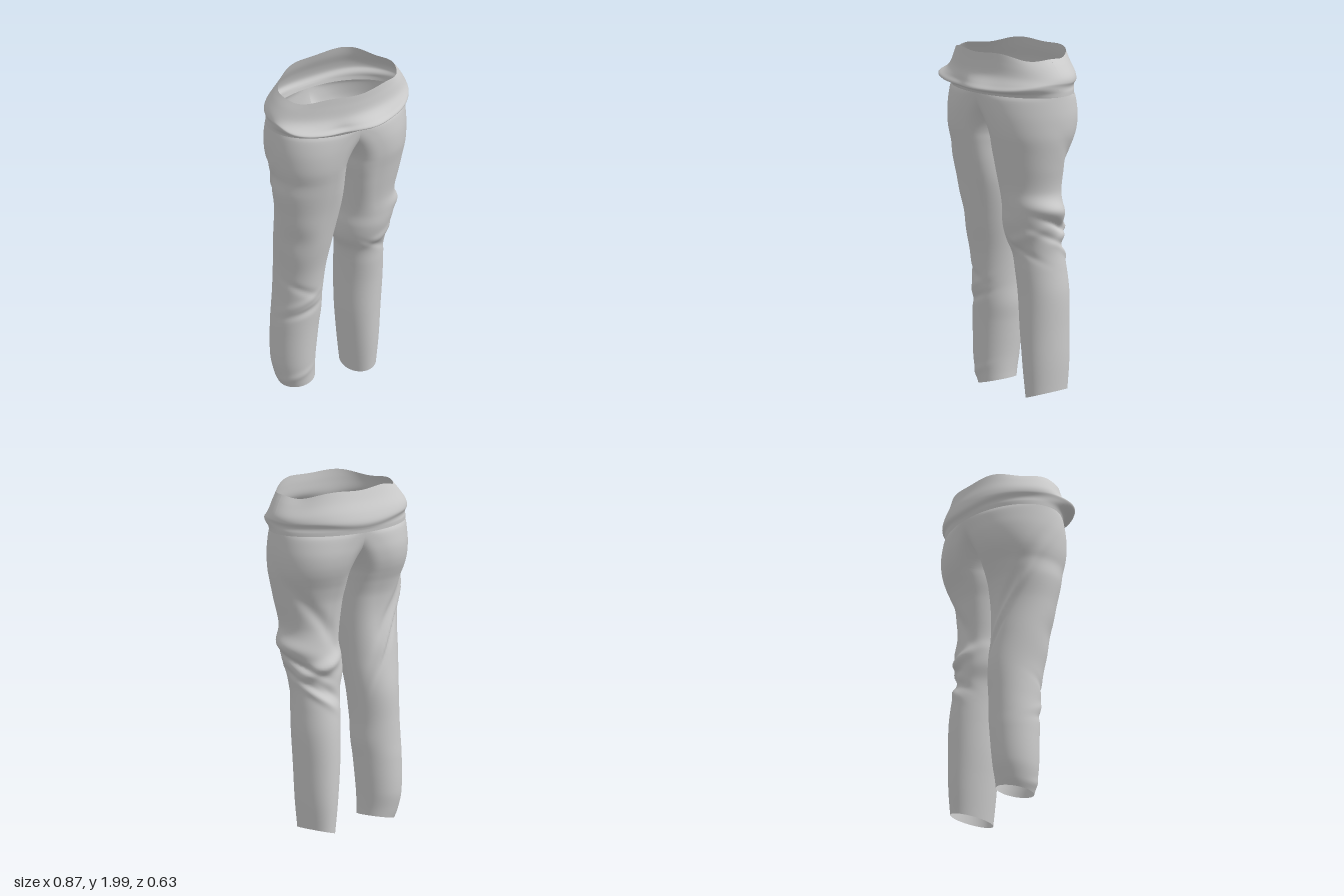
import * as THREE from 'three';
import { mergeVertices } from 'three/addons/utils/BufferGeometryUtils.js';

const material = new THREE.MeshStandardMaterial({ color: 0xcccccc, side: THREE.DoubleSide });

// Smooth interpolation of table rows; the first entry of each row is the key
function sampleRows(rows, v) {
  let i = 0;
  while (i < rows.length - 2 && v > rows[i + 1][0]) i++;
  const a = rows[Math.max(i - 1, 0)], b = rows[i], c = rows[i + 1], d = rows[Math.min(i + 2, rows.length - 1)];
  const s = c[0] - b[0], u = (v - b[0]) / s, u2 = u * u, u3 = u2 * u;
  return b.map((p, k) => {
    const m0 = (c[k] - a[k]) / (c[0] - a[0]) * s, m1 = (d[k] - p) / (d[0] - b[0]) * s;
    return (2 * u3 - 3 * u2 + 1) * p + (u3 - 2 * u2 + u) * m0 + (3 * u2 - 2 * u3) * c[k] + (u3 - u2) * m1;
  });
}

// Surface through a grid of points, point(row 0..1, column 0..1) -> [x, y, z]
function loft(name, rows, cols, flip, point) {
  const pos = [], index = [];
  for (let r = 0; r <= rows; r++)
    for (let c = 0; c <= cols; c++) pos.push(...point(r / rows, c / cols));
  for (let r = 0; r < rows; r++)
    for (let c = 0; c < cols; c++) {
      const a = r * (cols + 1) + c, b = a + 1, d = a + cols + 1, e = d + 1;
      index.push(...(flip ? [a, d, b, b, d, e] : [a, b, d, b, e, d]));
    }
  let geo = new THREE.BufferGeometry();
  geo.setAttribute('position', new THREE.Float32BufferAttribute(pos, 3));
  geo.setIndex(index);
  geo = mergeVertices(geo, 1e-5);
  geo.computeVertexNormals();
  const mesh = new THREE.Mesh(geo, material);
  mesh.name = name;
  return mesh;
}

// Seat rows shared by both legs: y, outer x, inner x, front z, back z, opening
// (opening 0 = closed leg tube, 1 = half of the open pelvis)
const seat = [
  [1.43, 0.402, 0.003, 0.21, -0.222, 0],
  [1.48, 0.413, 0, 0.221, -0.243, 0],
  [1.52, 0.42, 0, 0.229, -0.26, 0.2],
  [1.57, 0.425, 0, 0.236, -0.276, 0.42],
  [1.63, 0.428, 0, 0.242, -0.287, 0.64],
  [1.69, 0.427, 0, 0.246, -0.291, 0.84],
  [1.75, 0.424, 0, 0.25, -0.295, 1],
];

const leftLeg = {
  side: 1, hemSlope: 0.26,
  rows: [
    [0.03, 0.29, 0.11, 0.03, -0.235, 0],
    [0.20, 0.305, 0.09, 0.045, -0.245, 0],
    [0.40, 0.315, 0.07, 0.055, -0.245, 0],
    [0.60, 0.325, 0.06, 0.065, -0.24, 0],
    [0.74, 0.32, 0.052, 0.08, -0.225, 0],
    [0.84, 0.318, 0.04, 0.092, -0.205, 0],
    [0.93, 0.325, 0.01, 0.125, -0.197, 0],
    [1.02, 0.345, 0.01, 0.15, -0.19, 0],
    [1.10, 0.357, 0.025, 0.157, -0.18, 0],
    [1.20, 0.352, 0.025, 0.166, -0.178, 0],
    [1.34, 0.382, 0.016, 0.192, -0.195, 0],
    ...seat],
  // Cloth folds: y, angle, slope, height, thickness, angular spread
  folds: [
    [1.09, -0.1, 0.03, 0.028, 0.05, 0.8],
    [0.98, -1.4, -0.06, 0.03, 0.035, 0.9],
    [0.84, -0.9, 0.1, 0.015, 0.03, 0.9],
    [0.89, -0.5, 0.08, -0.018, 0.025, 0.9],
    [0.99, -0.5, 0.07, -0.022, 0.025, 0.8],
    [0.93, 1.2, -0.06, 0.010, 0.03, 0.8],
    [0.87, 1.4, 0.08, -0.007, 0.025, 0.8],
    [0.82, -1.8, 0.08, -0.015, 0.03, 0.8],
    [1.25, -1.3, 0.22, -0.014, 0.06, 0.9],
  ],
};

const rightLeg = {
  side: -1, hemSlope: 0.2,
  rows: [
    [0.055, 0.315, 0.11, 0.02, -0.2, 0],
    [0.10, 0.335, 0.11, 0.025, -0.21, 0],
    [0.20, 0.355, 0.105, 0.035, -0.23, 0],
    [0.40, 0.355, 0.085, 0.045, -0.24, 0],
    [0.50, 0.35, 0.072, 0.052, -0.24, 0],
    [0.62, 0.343, 0.07, 0.062, -0.24, 0],
    [0.80, 0.342, 0.055, 0.085, -0.24, 0],
    [1.00, 0.365, 0.03, 0.13, -0.21, 0],
    [1.20, 0.382, 0.008, 0.163, -0.185, 0],
    [1.34, 0.403, 0.004, 0.192, -0.195, 0],
    ...seat],
  folds: [
    [0.60, 1.3, 0.07, 0.006, 0.025, 0.9],
    [0.54, 1.5, 0.05, -0.010, 0.022, 0.9],
    [0.68, 1.2, -0.06, -0.008, 0.025, 0.8],
    [1.02, 0.8, 0, -0.015, 0.09, 0.6],
    [0.12, 1.2, 0.03, 0.006, 0.02, 1.0],
    [1.16, -1.2, 0.3, 0.012, 0.035, 0.9],
    [1.08, -1.3, 0.3, -0.012, 0.03, 0.8],
    [1.28, -1.1, 0.3, -0.010, 0.04, 0.9],
  ],
};

function makeLeg(name, { side, hemSlope, rows, folds }) {
  const bottom = rows[0][0], top = rows[rows.length - 1][0];
  return loft(name, 140, 64, side < 0, (v, u) => {
    const [y, xo, xi, zf, zb, open] = sampleRows(rows, bottom + (top - bottom) * v);
    // Arc from the front of the midline, round the outside, to the back
    const reach = Math.PI * (1 - THREE.MathUtils.clamp(open, 0, 1) / 2);
    const t = reach * (1 - 2 * u);
    // Thighs press flat against each other on the inside
    const thigh = THREE.MathUtils.smoothstep(y, 0.95, 1.35);
    const across = (angle) => {
      const c = Math.cos(angle);
      return c > 0 ? c : -(1 - 0.28 * thigh) * Math.pow(-c, 1 - 0.35 * thigh);
    };
    const inner = Math.max(0, xi);
    const rx = (xo - inner) / (1 - across(reach)), rz = (zf - zb) / 2;
    let bump = 0;
    for (const [fy, ft, slope, height, thick, spread] of folds)
      bump += height * Math.exp(-(((y - fy - slope * (t - ft)) / thick) ** 2) - ((t - ft) / spread) ** 2);
    bump *= Math.min(1, 1 + Math.cos(t)) * (1 - open);
    const x = side * (xo - rx + rx * across(t) + bump * Math.cos(t));
    const dz = (rz + bump) * Math.sin(t);
    // Slanted trouser hem
    const fade = Math.max(0, 1 - (y - bottom) / 0.25);
    const slant = fade * (hemSlope * (x - side * (xo + inner) / 2) - 0.07 * dz);
    return [x, y + slant, (zf + zb) / 2 + dz];
  });
}

// Flared waist: step, y, half width, front z, back z
const waistRows = [
  [0, 1.75, 0.424, 0.25, -0.295],
  [1, 1.768, 0.426, 0.265, -0.298],
  [2, 1.782, 0.430, 0.308, -0.302],
  [3, 1.812, 0.436, 0.288, -0.312],
  [4, 1.86, 0.428, 0.257, -0.297],
  [5, 1.92, 0.395, 0.25, -0.267],
  [6, 1.972, 0.36, 0.25, -0.245],
];

function makeWaist() {
  return loft('flaredWaist', 36, 96, false, (v, u) => {
    const [step, y, rx, zf, zb] = sampleRows(waistRows, v * 6);
    const a = 2 * Math.PI * (1 - u), c = Math.cos(a), s = Math.sin(a);
    const lip = Math.exp(-((step - 2.4) ** 2) / 1.2) * Math.min(1, step);
    const rim = (step / 6) ** 3;
    // Uneven lip: pulled out at the right front corner, dipped beside the centre
    const peak = (at, width) => Math.exp(-(((a - at) / width) ** 2));
    const wave = 1 + lip * (0.1 * peak(2.55, 0.32) - 0.09 * peak(1.87, 0.22) + 0.04 * peak(1.4, 0.2))
      + rim * 0.08 * peak(5.35, 0.35);
    // Lip raised at the hips, wavy upper rim
    const lift = lip * (0.025 * c * c + 0.004 * Math.sin(5 * a))
      + rim * (0.008 * Math.cos(6 * a) - 0.02 * Math.cos(2 * a));
    return [rx * c * wave, y + lift, (zf + zb) / 2 + (zf - zb) / 2 * s * wave];
  });
}

export function createModel() {
  const trousers = new THREE.Group();
  trousers.name = 'trousers';
  trousers.add(makeLeg('leftLeg', leftLeg), makeLeg('rightLeg', rightLeg), makeWaist());
  return trousers;
}
